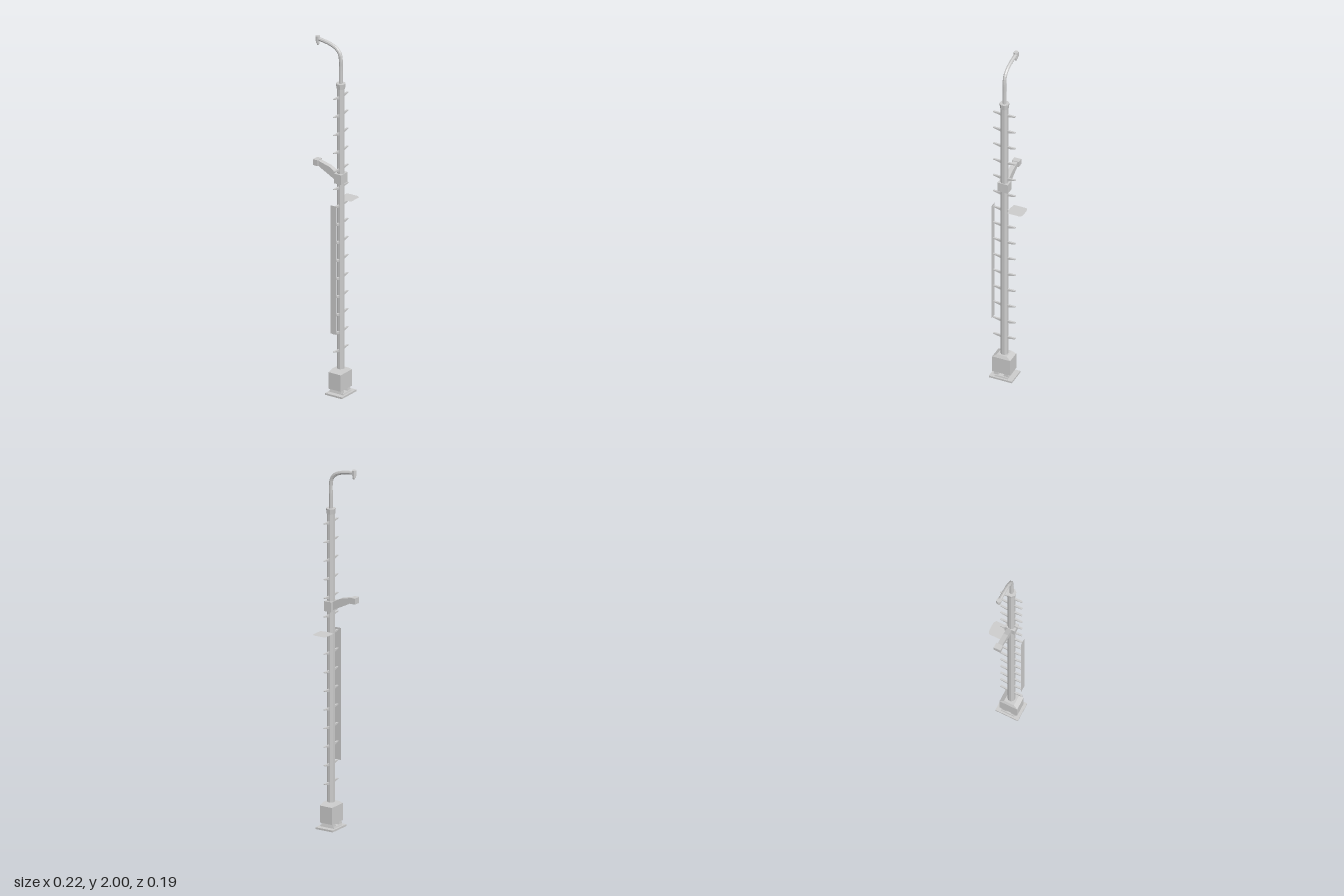
import * as THREE from 'three';

const PX = 0.055, PZ = 0.024; // pole axis

export function createModel() {
  const root = new THREE.Group();
  const mat = new THREE.MeshStandardMaterial({ color: 0xcccccc, flatShading: true });
  const thin = new THREE.MeshStandardMaterial({ color: 0xcccccc, flatShading: true, side: THREE.DoubleSide });

  const add = (name, geo, x = 0, y = 0, z = 0, m = mat) => {
    const mesh = new THREE.Mesh(geo, m);
    mesh.name = name;
    mesh.position.set(x, y, z);
    root.add(mesh);
    return mesh;
  };
  // box from its min / max limits
  const box = (name, x0, x1, y0, y1, z0, z1) =>
    add(name, new THREE.BoxGeometry(x1 - x0, y1 - y0, z1 - z0), (x0 + x1) / 2, (y0 + y1) / 2, (z0 + z1) / 2);
  // box whose upper face is scaled in x and z
  const taperBox = (name, x0, x1, y0, y1, z0, z1, sx, sz) => {
    const mesh = box(name, x0, x1, y0, y1, z0, z1);
    const p = mesh.geometry.attributes.position;
    for (let i = 0; i < p.count; i++)
      if (p.getY(i) > 0) p.setXYZ(i, p.getX(i) * sx, p.getY(i), p.getZ(i) * sz);
    mesh.geometry.computeVertexNormals();
    return mesh;
  };
  const cyl = (name, rTop, rBot, y0, y1, sides, x = PX) => {
    const g = new THREE.CylinderGeometry(rTop, rBot, y1 - y0, sides);
    g.rotateY(Math.PI / sides);
    return add(name, g, x, (y0 + y1) / 2, PZ);
  };
  const shape = (pts) => new THREE.Shape(pts.map(([a, b]) => new THREE.Vector2(a, b)));

  // Foot: ground plate, two flared feet, equipment box with bevelled lid
  box('groundPlate', 0, 0.108, 0, 0.01, -0.043, 0.09);
  taperBox('footRail', 0.01, 0.098, 0.01, 0.018, -0.014, 0.062, 0.95, 0.95);
  for (const z of [-0.012, 0.046])
    taperBox('foot', 0.016, 0.09, 0.018, 0.036, z - 0.004, z + 0.026, 0.95, 0.7);
  box('baseBox', 0.015, 0.092, 0.034, 0.128, -0.026, 0.078);
  taperBox('baseBoxLid', 0.015, 0.092, 0.128, 0.144, -0.026, 0.078, 0.78, 0.55);

  // Pole with top collar
  cyl('pole', 0.021, 0.021, 0.13, 1.75, 8);
  cyl('poleCollar', 0.0265, 0.023, 1.735, 1.765, 8);

  // Climbing pegs front and back, thinning from below towards the tip
  const pegGeo = new THREE.ExtrudeGeometry(
    shape([[0.015, 0.005], [0.064, 0.005], [0.064, 0.001], [0.015, -0.011]]),
    { depth: 0.01, bevelEnabled: false });
  pegGeo.translate(0, 0, -0.005);
  for (let i = 0; i < 15; i++)
    for (const side of [-1, 1])
      add('climbingPeg', pegGeo, PX, 0.252 + i * 0.1028, PZ).rotation.y = side * Math.PI / 2;

  // Narrow board held in front of the pole
  add('frontBoard', new THREE.PlaneGeometry(0.038, 0.73), PX, 0.723, 0.0905, thin);

  // Flat rear shelf with clipped outer corners, hollowed around the pole
  const shelf = new THREE.ShapeGeometry(shape([
    [0.013, 0.013], [0.03, 0.009], [0.055, 0.006], [0.08, 0.009], [0.097, 0.013],
    [0.097, 0.085], [0.082, 0.095], [0.028, 0.095], [0.013, 0.085]]));
  shelf.rotateX(-Math.PI / 2);
  add('rearShelf', shelf, 0, 1.088, 0, thin);

  // Middle bracket: collar, rising arm and end block
  box('bracketCollar', 0.033, 0.078, 1.2, 1.255, -0.006, 0.054);
  const arm = new THREE.ExtrudeGeometry(
    shape([[0.04, 1.205], [0.04, 1.25], [-0.01, 1.278], [-0.085, 1.297], [-0.085, 1.269]]),
    { depth: 0.026, bevelEnabled: false });
  add('bracketArm', arm, 0, 0, PZ - 0.013);
  box('bracketEnd', -0.111, -0.08, 1.266, 1.299, 0.003, 0.043);

  // Curved lamp arm
  const path = new THREE.CatmullRomCurve3([
    [PX, 1.75], [PX, 1.83], [PX, 1.9], [0.048, 1.932], [0.025, 1.957],
    [-0.01, 1.972], [-0.05, 1.98], [-0.092, 1.985]].map(([x, y]) => new THREE.Vector3(x, y, PZ)));
  add('lampArm', new THREE.TubeGeometry(path, 24, 0.0105, 8), 0, 0, 0, thin);

  // Lamp head: stacked hexagonal sections
  cyl('lampCap', 0.014, 0.014, 1.972, 2.0, 6, -0.092);
  cyl('lampBody', 0.011, 0.011, 1.96, 1.972, 6, -0.092);
  cyl('lampTip', 0.008, 0.006, 1.95, 1.96, 6, -0.09);
  return root;
}
